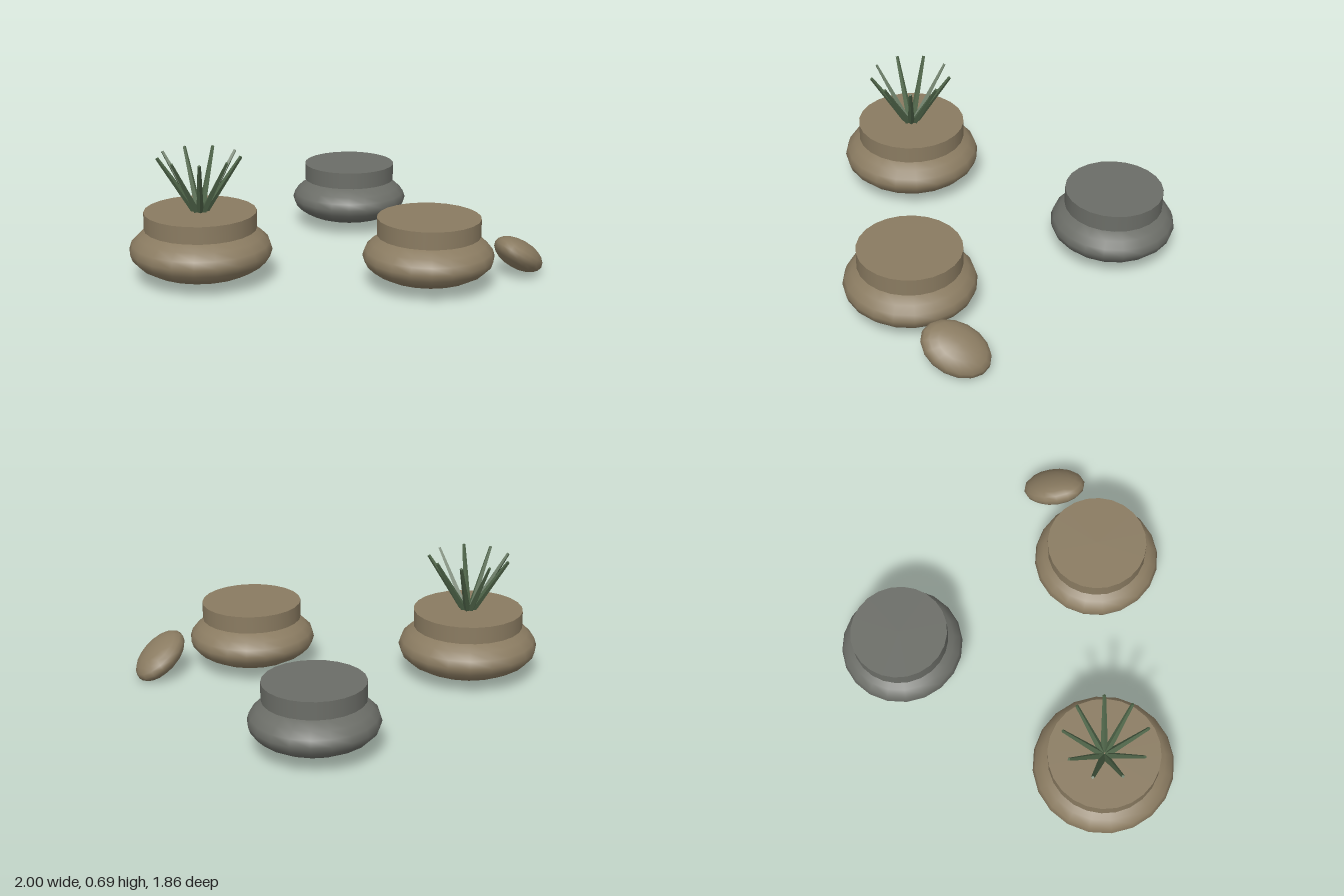
import * as THREE from 'three';

const tan = new THREE.MeshStandardMaterial({ name: 'tan stone', color: 0x8a7b61 });
const grey = new THREE.MeshStandardMaterial({ name: 'grey stone', color: 0x6b6d67 });
const green = new THREE.MeshStandardMaterial({ name: 'leaf green', color: 0x50664a, flatShading: true });

function add(parent, name, geometry, material, x = 0, y = 0, z = 0) {
  const mesh = new THREE.Mesh(geometry, material);
  mesh.name = name;
  mesh.position.set(x, y, z);
  parent.add(mesh);
  return mesh;
}

// Flattened boulder with a flat disc on top
function steppingStone(name, material, x, z, radius, bottom, capRadius) {
  const stone = new THREE.Group();
  stone.name = name;
  stone.position.set(x, 0, z);
  const halfHeight = 0.17 - bottom;
  const body = new THREE.SphereGeometry(1, 20, 12).scale(radius, halfHeight, radius);
  add(stone, 'boulder', body, material, 0, 0.17, 0);
  add(stone, 'flatTop', new THREE.CylinderGeometry(capRadius, capRadius, 0.095, 24), material, 0, 0.333, 0);
  return stone;
}

// Rosette of tapered blades leaning outward
function plant(x, z) {
  const group = new THREE.Group();
  group.name = 'plant';
  group.position.set(x, 0.37, z);
  const count = 9, lean = 0.205, rise = 0.315;
  const blade = new THREE.CylinderGeometry(0.009, 0.02, Math.hypot(lean, rise), 4)
    .rotateZ(-Math.atan2(lean, rise))
    .translate(0.02 + lean / 2, rise / 2, 0);
  for (let i = 0; i < count; i++) {
    add(group, 'leaf', blade, green).rotation.y = (i / count) * Math.PI * 2;
  }
  return group;
}

export function createModel() {
  const model = new THREE.Group();
  model.name = 'rockGarden';
  model.add(
    steppingStone('plantedStone', tan, -0.61, -0.22, 0.387, 0.012, 0.304),
    steppingStone('frontStone', tan, 0.322, 0.575, 0.352, 0.025, 0.277),
    steppingStone('greyStone', grey, 0.652, -0.595, 0.338, 0.031, 0.266),
    plant(-0.61, -0.22)
  );

  // Small pebble lying tilted beside the front stone
  const pebble = add(model, 'pebble', new THREE.SphereGeometry(1, 16, 10).scale(0.19, 0.079, 0.141), tan, 0.84, 0.115, 0.715);
  const axis = new THREE.Vector3(0.76, -0.4, -0.51).normalize();
  const side = new THREE.Vector3().crossVectors(axis, new THREE.Vector3(0.524, 0.843, 0.121)).normalize();
  const up = new THREE.Vector3().crossVectors(side, axis);
  pebble.quaternion.setFromRotationMatrix(new THREE.Matrix4().makeBasis(axis, up, side));
  return model;
}
